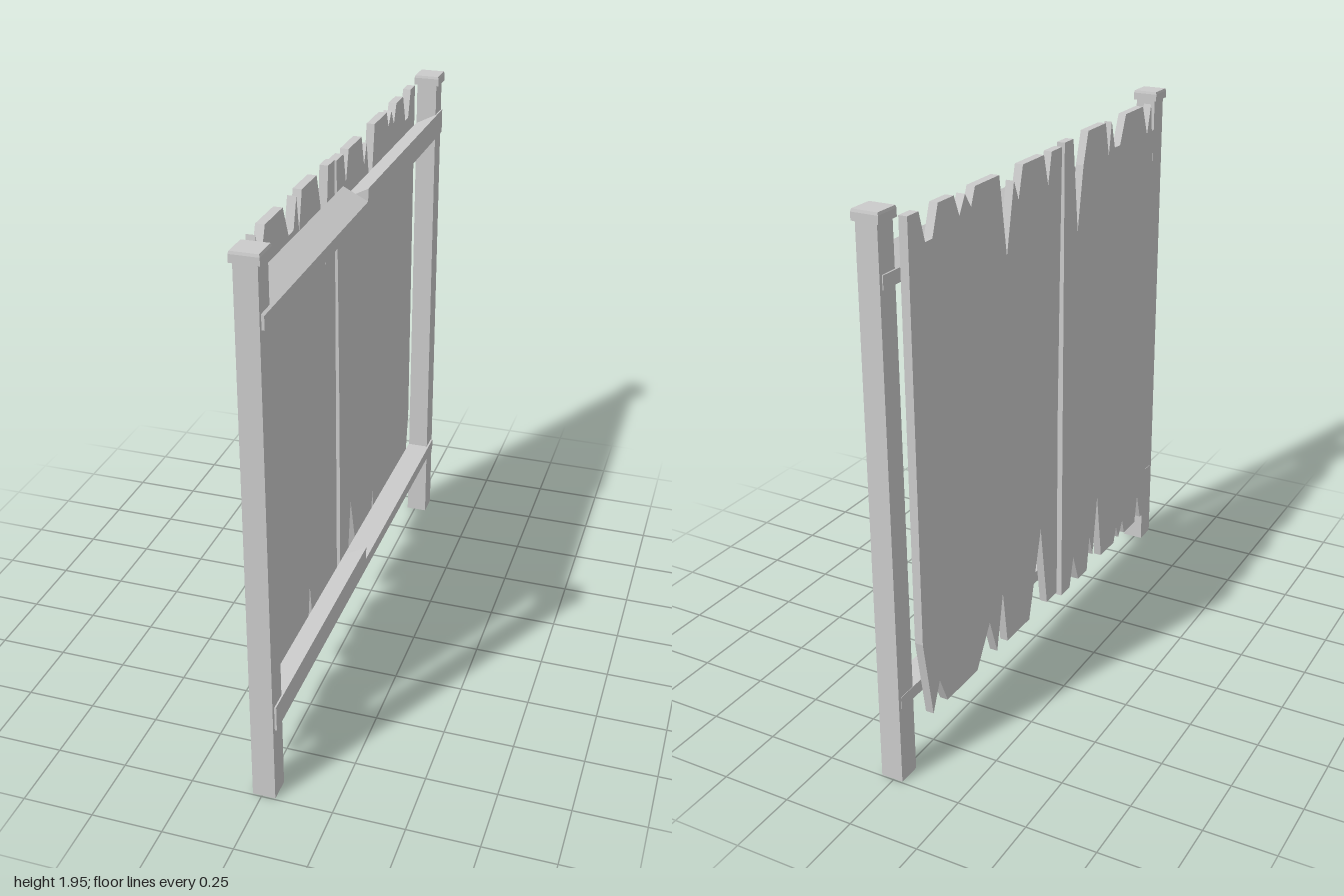
import * as THREE from 'three';

const material = new THREE.MeshStandardMaterial({ color: 0xcccccc, flatShading: true });

function addMesh(parent, name, geometry) {
  const mesh = new THREE.Mesh(geometry, material);
  mesh.name = name;
  parent.add(mesh);
  return mesh;
}

function extrude(points, depth) {
  const shape = new THREE.Shape(points.map(([a, b]) => new THREE.Vector2(a, b)));
  return new THREE.ExtrudeGeometry(shape, { depth, bevelEnabled: false });
}

// Box standing on its base whose top is scaled
function taperedBox(w, h, d, topScale) {
  const geo = new THREE.BoxGeometry(w, h, d).translate(0, h / 2, 0);
  const p = geo.attributes.position;
  for (let i = 0; i < p.count; i++) {
    if (p.getY(i) > h / 2) p.setXYZ(i, p.getX(i) * topScale, p.getY(i), p.getZ(i) * topScale);
  }
  geo.computeVertexNormals();
  return geo;
}

// Torn sheet outlines as [z, y]
const sheets = {
  frontSheet: [
    [0.86, 0.15], [0.855, 1.3], [0.845, 1.62], [0.805, 1.92], [0.775, 1.81], [0.73, 1.925],
    [0.58, 1.925], [0.535, 1.82], [0.49, 1.82], [0.46, 1.92], [0.44, 1.8], [0.41, 1.925],
    [0.27, 1.925], [0.235, 1.81], [0.195, 1.58], [0.155, 1.92], [0.09, 1.92],
    [0.09, 0.15], [0.16, 0.15], [0.19, 0.27], [0.235, 0.15], [0.31, 0.15], [0.33, 0.29],
    [0.36, 0.2], [0.395, 0.44], [0.44, 0.155], [0.56, 0.155], [0.58, 0.22], [0.605, 0.16],
    [0.64, 0.22], [0.66, 0.155], [0.765, 0.155], [0.785, 0.27], [0.82, 0.155],
  ],
  rearSheet: [
    [0.07, 1.91], [-0.005, 1.91], [-0.03, 1.8], [-0.06, 1.91], [-0.205, 1.91], [-0.235, 1.8],
    [-0.265, 1.87], [-0.315, 1.63], [-0.36, 1.91], [-0.51, 1.91], [-0.535, 1.85], [-0.57, 1.9],
    [-0.605, 1.84], [-0.635, 1.91], [-0.725, 1.91], [-0.76, 1.81], [-0.8, 1.81], [-0.83, 1.91],
    [-0.89, 1.91], [-0.89, 0.48], [-0.84, 0.185], [-0.795, 0.29], [-0.75, 0.185],
    [-0.55, 0.185], [-0.46, 0.33], [-0.41, 0.185], [-0.365, 0.4], [-0.335, 0.185],
    [-0.17, 0.185], [-0.08, 0.52], [-0.03, 0.185], [0.05, 0.185], [0.05, 0.94], [0.06, 1.48],
  ],
};

// Rail halves: [name, start z, bottom, top at the outer side, top at the sheet side]
const rails = [
  ['topRailFront', 0, 1.71, 1.755, 1.8],
  ['topRailRear', -0.98, 1.71, 1.8, 1.755],
  ['bottomRailFront', 0, 0.28, 0.375, 0.325],
  ['bottomRailRear', -0.98, 0.28, 0.325, 0.325],
];

export function createModel() {
  const group = new THREE.Group();
  group.name = 'fencePanel';

  // End posts with caps
  for (const side of [1, -1]) {
    const post = new THREE.Group();
    post.name = side > 0 ? 'frontPost' : 'rearPost';
    addMesh(post, 'postShaft', taperedBox(0.08, 1.92, 0.084, 0.94));
    addMesh(post, 'postCapBase', new THREE.BoxGeometry(0.094, 0.026, 0.094).translate(0, 1.923, 0));
    addMesh(post, 'postCapTop', taperedBox(0.094, 0.009, 0.094, 0.95)).position.y = 1.936;
    post.position.set(0.008, 0, 0.953 * side);
    group.add(post);
  }

  // Horizontal rails, each in two halves
  for (const [name, z, bottom, outerTop, innerTop] of rails) {
    const section = [[-0.033, bottom], [0.055, bottom], [0.055, outerTop], [-0.033, innerTop]];
    addMesh(group, name, extrude(section, 0.98)).position.z = z;
  }

  // Torn sheets fixed behind the rails
  for (const [name, outline] of Object.entries(sheets)) {
    addMesh(group, name, extrude(outline, 0.03).rotateY(-Math.PI / 2)).position.x = -0.033;
  }

  return group;
}
